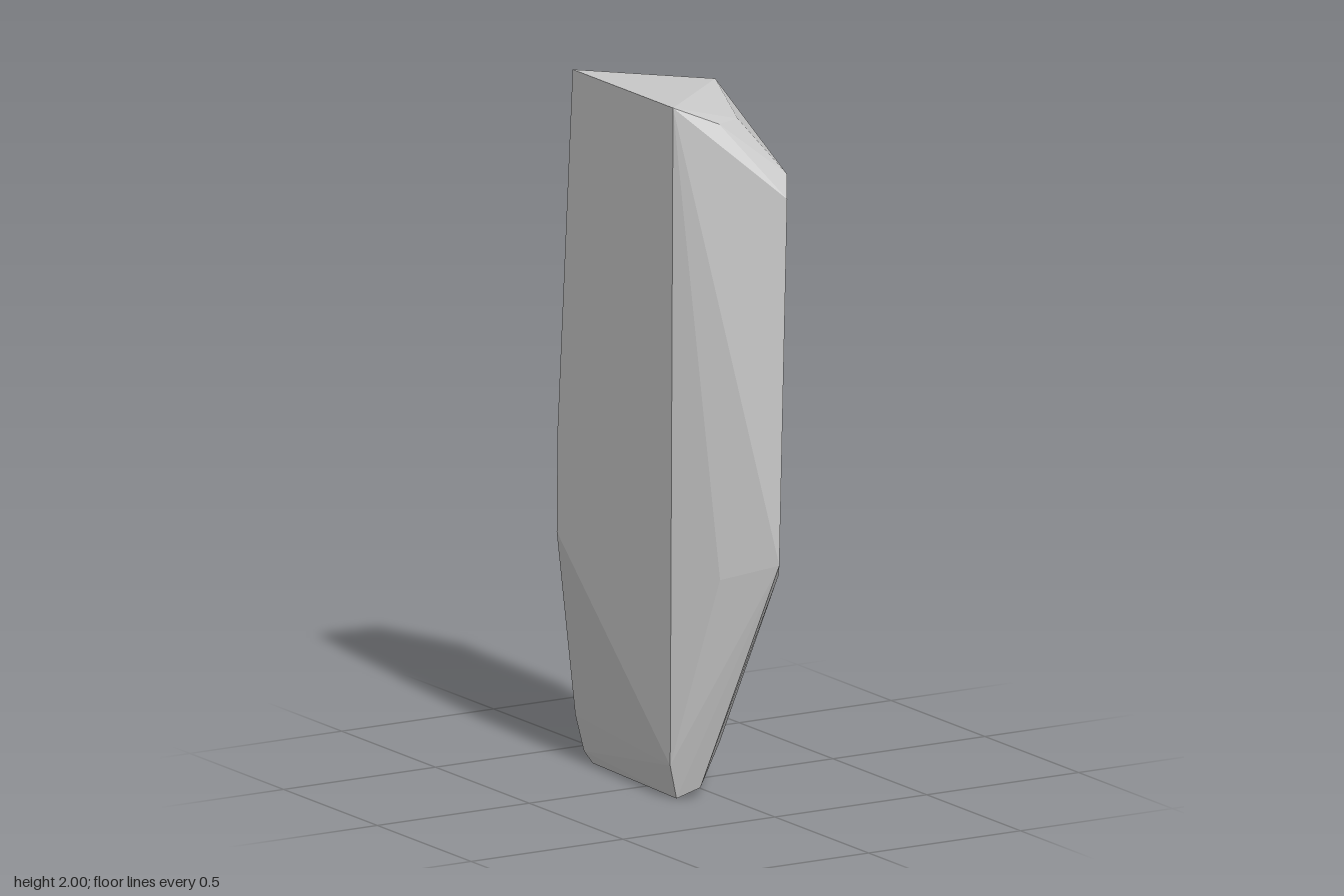
import * as THREE from 'three';
import { ConvexGeometry } from 'three/addons/geometries/ConvexGeometry.js';

export function createModel() {
  const group = new THREE.Group();
  group.name = 'standingStone';
  const stone = new THREE.MeshStandardMaterial({ color: 0xc7c7c7, flatShading: true });
  stone.name = 'light grey stone';

  // Chipped corners of the slab, [x, y, z], in rings from the top down
  const corners = [
    // top face
    [-0.147, 2, 0.195], [0.137, 2, -0.04], [0.05, 1.95, -0.37], [-0.147, 2, -0.34],
    // upper chips, front then back
    [-0.03, 1.95, 0.25], [0.05, 1.95, 0.22], [0.145, 1.8, 0.33], [0.118, 1.74, 0.375],
    [0.118, 1.74, -0.36], [0.07, 1.78, -0.395], [0.137, 1.38, -0.397],
    // widest part
    [0.063, 0.7, 0.422], [0.115, 0.65, 0.335], [-0.06, 0.65, 0.305],
    [-0.147, 0.95, -0.42], [-0.147, 0.65, -0.425], [0.105, 0.35, -0.15],
    // lower chips
    [0.078, 0.12, 0.08], [0.075, 0.09, -0.11], [0.08, 0.14, -0.25],
    [-0.147, 0.1, 0.18], [-0.06, 0.03, 0.2], [-0.12, 0.13, -0.37], [-0.11, 0.03, -0.34],
    // foot
    [-0.12, 0, 0.17], [0.015, 0, 0.065], [0.05, 0, -0.03], [0.025, 0, -0.23], [-0.1, 0, -0.31],
  ].map((p) => new THREE.Vector3(...p));

  const slab = new THREE.Mesh(new ConvexGeometry(corners), stone);
  slab.name = 'stoneSlab';
  group.add(slab);
  return group;
}
